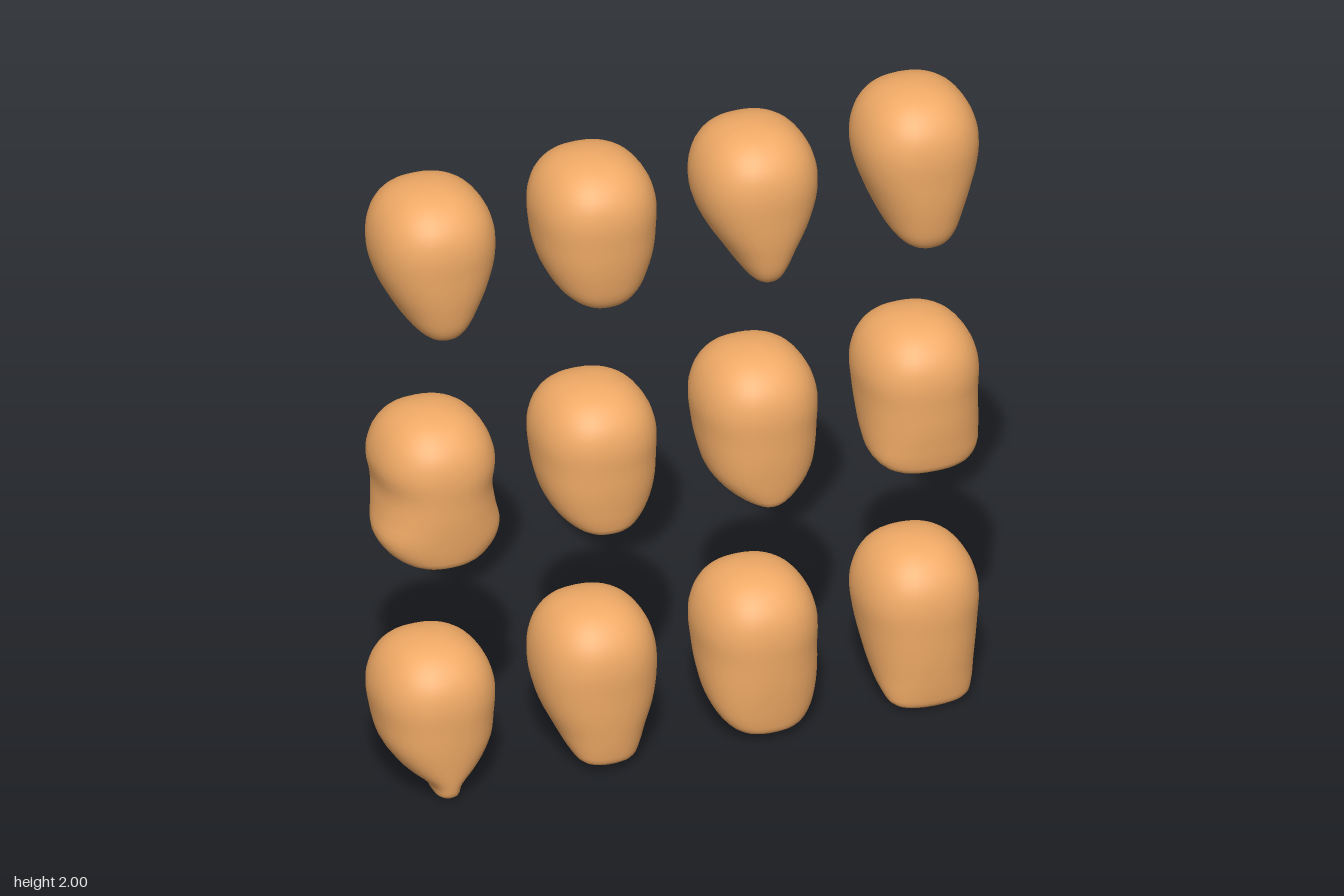
import * as THREE from 'three';

const RINGS = 30, SEGMENTS = 36, EXPONENT = 0.87;

// Heads by row: each has bottom, top and the half-widths of chin, jaw and cheek going up.
const rows = [
  {
    name: 'top', tipZ: 0.12,
    front: [0.152, 0.173, 0.185, 0.194, 0.198],
    back: [0.03, -0.055, -0.125, -0.168, -0.191],
    heads: [
      { name: 'egg', bottom: 1.52, top: 1.975, jaw: [0.05, 0.088, 0.122, 0.155, 0.177] },
      { name: 'oval', bottom: 1.525, top: 1.975, jaw: [0.066, 0.114, 0.147, 0.169, 0.178] },
      { name: 'pointed', bottom: 1.505, top: 1.975, jaw: [0.04, 0.07, 0.104, 0.145, 0.174] },
      { name: 'longEgg', bottom: 1.515, top: 2, jaw: [0.058, 0.095, 0.122, 0.149, 0.173] },
    ],
  },
  {
    name: 'middle', tipZ: 0.12,
    front: [0.17, 0.183, 0.19, 0.196, 0.198],
    back: [0.05, -0.04, -0.108, -0.155, -0.187],
    heads: [
      { name: 'flared', bottom: 0.77, top: 1.235, jaw: [0.09, 0.155, 0.187, 0.177, 0.169] },
      { name: 'round', bottom: 0.78, top: 1.22, jaw: [0.068, 0.118, 0.152, 0.171, 0.178] },
      { name: 'wideJaw', bottom: 0.765, top: 1.235, jaw: [0.045, 0.105, 0.15, 0.168, 0.176] },
      { name: 'square', bottom: 0.78, top: 1.235, jaw: [0.108, 0.157, 0.17, 0.174, 0.177] },
    ],
  },
  {
    name: 'bottom', tipZ: 0.14,
    front: [0.172, 0.182, 0.189, 0.195, 0.198],
    back: [0.075, 0.0, -0.08, -0.14, -0.182],
    heads: [
      { name: 'smallChin', bottom: 0.005, top: 0.475, jaw: [0.034, 0.052, 0.115, 0.16, 0.174] },
      { name: 'taperedJaw', bottom: 0.015, top: 0.5, jaw: [0.075, 0.106, 0.132, 0.162, 0.179] },
      { name: 'longOval', bottom: 0.015, top: 0.5, jaw: [0.085, 0.132, 0.16, 0.173, 0.177] },
      { name: 'flatChin', bottom: 0, top: 0.5, jaw: [0.105, 0.135, 0.15, 0.163, 0.174] },
    ],
  },
];

// Skull cap shared by all heads: half-width, front and back
const skull = {
  width: [0.18, 0.164, 0.129, 0.075],
  front: [0.199, 0.184, 0.145, 0.09],
  back: [-0.198, -0.184, -0.142, -0.072],
};

const rounded = (v) => Math.sign(v) * Math.abs(v) ** EXPONENT;

function headGeometry(row, head) {
  // Width, front and back run from chin to crown at equal steps of a half turn
  const widths = [0, ...head.jaw, ...skull.width, 0];
  const fronts = [row.tipZ, ...row.front, ...skull.front, 0.01];
  const backs = [row.tipZ, ...row.back, ...skull.back, 0.01];
  const profile = new THREE.CatmullRomCurve3(
    widths.map((w, i) => new THREE.Vector3(w, fronts[i], backs[i])), false, 'catmullrom', 0.5);

  const positions = [0, head.bottom, row.tipZ];
  const indices = [];
  for (let i = 1; i < RINGS; i++) {
    const t = i / RINGS;
    const p = profile.getPoint(t);
    const y = head.bottom + (head.top - head.bottom) * (1 - Math.cos(t * Math.PI)) / 2;
    for (let j = 0; j < SEGMENTS; j++) {
      const a = (j / SEGMENTS) * Math.PI * 2;
      positions.push(
        p.x * rounded(Math.cos(a)), y,
        (p.y + p.z) / 2 + rounded(Math.sin(a)) * (p.y - p.z) / 2);
    }
  }
  positions.push(0, head.top, 0.01);

  const last = positions.length / 3 - 1;
  const at = (i, j) => 1 + i * SEGMENTS + (j % SEGMENTS);
  for (let j = 0; j < SEGMENTS; j++) {
    indices.push(0, at(0, j), at(0, j + 1));
    for (let i = 0; i < RINGS - 2; i++) {
      indices.push(at(i, j), at(i + 1, j), at(i, j + 1));
      indices.push(at(i, j + 1), at(i + 1, j), at(i + 1, j + 1));
    }
    indices.push(at(RINGS - 2, j), last, at(RINGS - 2, j + 1));
  }
  const geometry = new THREE.BufferGeometry();
  geometry.setAttribute('position', new THREE.Float32BufferAttribute(positions, 3));
  geometry.setIndex(indices);
  geometry.computeVertexNormals();
  return geometry;
}

export function createModel() {
  const model = new THREE.Group();
  model.name = 'headShapes';
  const skin = new THREE.MeshStandardMaterial({ color: 0xf0aa66 });
  for (const row of rows) {
    const group = new THREE.Group();
    group.name = `${row.name}Row`;
    row.heads.forEach((head, i) => {
      const mesh = new THREE.Mesh(headGeometry(row, head), skin);
      mesh.name = `${head.name}Head`;
      mesh.position.x = -0.75 + i * 0.5;
      group.add(mesh);
    });
    model.add(group);
  }
  return model;
}
